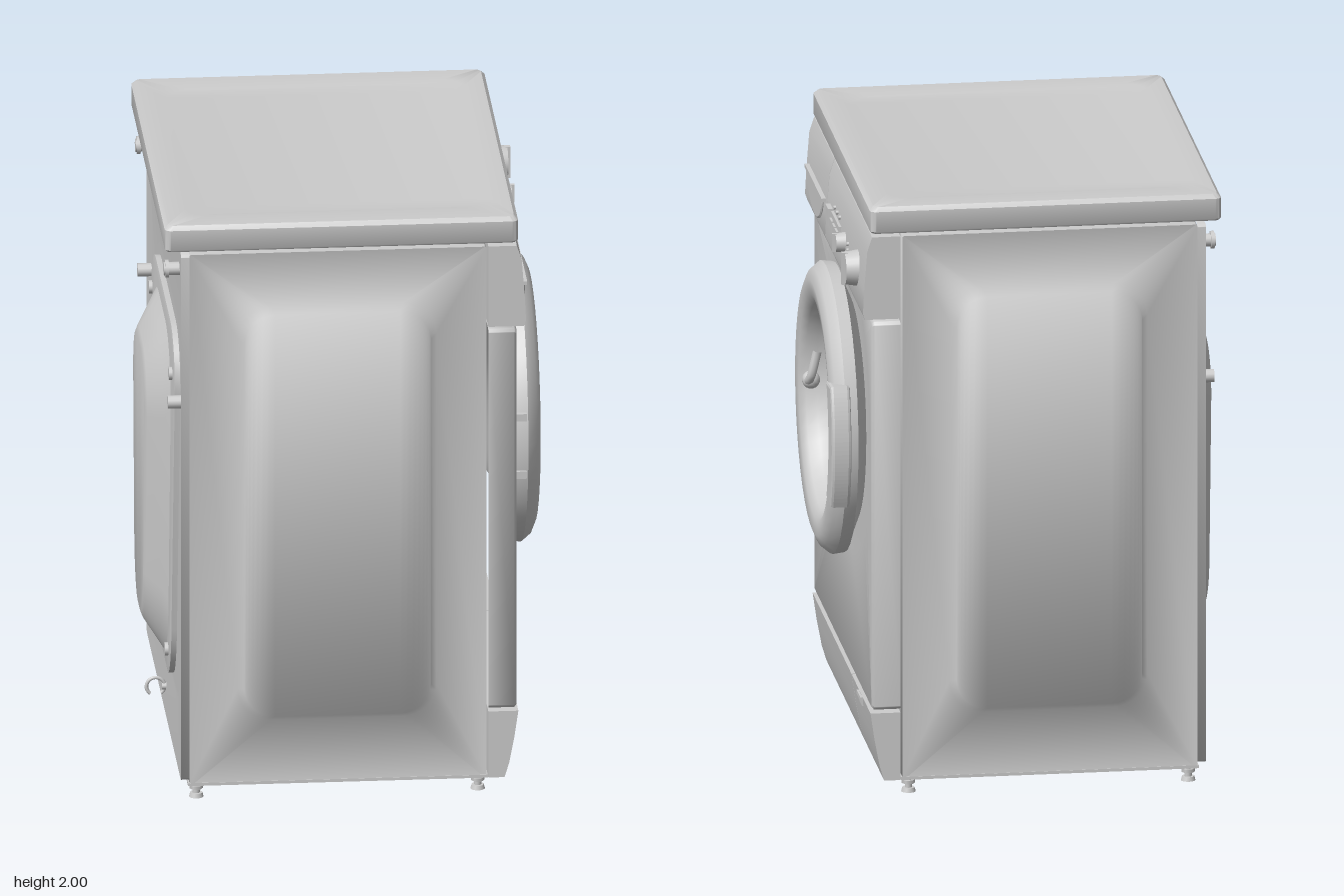
import * as THREE from 'three';
import { toCreasedNormals } from 'three/addons/utils/BufferGeometryUtils.js';

const CORNER = 9; // points per rounded corner

// Lofts rounded rectangles [width, height, radius, depth, cx, cy]; the last one may be capped.
function loft(loops, cap = true, crease = 1.15) {
  const pos = [], idx = [], n = CORNER * 4;
  for (const [w, h, r, d, cx = 0, cy = 0] of loops) {
    for (let q = 0; q < 4; q++) {
      const sx = q === 0 || q === 3 ? 1 : -1, sy = q < 2 ? 1 : -1;
      for (let k = 0; k < CORNER; k++) {
        const a = (q + k / (CORNER - 1)) * Math.PI / 2;
        pos.push(cx + sx * (w / 2 - r) + r * Math.cos(a), cy + sy * (h / 2 - r) + r * Math.sin(a), d);
      }
    }
  }
  for (let l = 0; l < loops.length - 1; l++) {
    for (let j = 0; j < n; j++) {
      const a = l * n + j, b = l * n + (j + 1) % n;
      idx.push(a, b, b + n, a, b + n, a + n);
    }
  }
  if (cap) {
    const o = (loops.length - 1) * n;
    for (let i = 0; i < n / 2 - 1; i++) {
      const a = o + i, b = o + i + 1, c = o + n - 2 - i, d = o + n - 1 - i;
      idx.push(a, b, c, a, c, d);
    }
  }
  const g = new THREE.BufferGeometry();
  g.setAttribute('position', new THREE.Float32BufferAttribute(pos, 3));
  g.setIndex(idx);
  return toCreasedNormals(g, crease);
}

// Extrudes a (z, y) profile sideways from x0 to x1.
function profileBar(points, x0, x1) {
  const shape = new THREE.Shape(points.map(p => new THREE.Vector2(...p)));
  const g = new THREE.ExtrudeGeometry(shape, { depth: x1 - x0, bevelEnabled: false });
  g.rotateY(-Math.PI / 2);
  g.translate(x1, 0, 0);
  return toCreasedNormals(g, 0.5);
}

export function createModel() {
  const grey = new THREE.MeshStandardMaterial({ color: 0xcccccc });
  grey.name = 'enamel grey';
  const model = new THREE.Group();
  model.name = 'washingMachine';
  const machine = new THREE.Group(); // built facing +z, then turned to face +x
  machine.name = 'machine';
  machine.rotation.y = Math.PI / 2;
  model.add(machine);

  const add = (name, geo, x = 0, y = 0, z = 0, parent = machine) => {
    const m = new THREE.Mesh(geo, grey);
    m.name = name;
    m.position.set(x, y, z);
    parent.add(m);
    return m;
  };
  const box = (name, w, h, d, x, y, z) => add(name, new THREE.BoxGeometry(w, h, d), x, y, z);
  const disc = (name, r, d, x, y, z, r2 = r) =>
    add(name, new THREE.CylinderGeometry(r2, r, d, 24).rotateX(Math.PI / 2), x, y, z);

  // Cabinet core and pressed side panels
  box('cabinetCore', 1.3, 1.84, 0.96, 0, 0.975, -0.06);
  box('cabinetFloor', 1.38, 0.01, 0.98, 0, 0.055, -0.055);
  for (const s of [-1, 1]) {
    const side = add('sidePanel', loft([
      [0.97, 1.85, 0.005, 0.64], [0.97, 1.85, 0.005, 0.69],
      [0.65, 1.44, 0.11, 0.655, -s * -0.0, 0.005],
      [0.61, 1.40, 0.1, 0.682, 0, 0.005],
    ]), 0, 0.975, -0.055);
    side.rotation.y = s * Math.PI / 2;
  }

  // Lid with a shallow inset top
  const lid = add('lid', loft([
    [1.0, 0.8, 0.02, 1.91], [1.37, 1.145, 0.02, 1.91], [1.38, 1.155, 0.02, 1.917],
    [1.38, 1.155, 0.02, 1.985], [1.355, 1.13, 0.02, 1.999],
    [1.19, 1.0, 0.08, 2.0], [1.14, 0.95, 0.07, 1.995],
  ], true, 0.7), 0, 0, -0.0425);
  lid.rotation.x = -Math.PI / 2;
  box('lidSeat', 1.3, 0.03, 0.95, 0, 1.9, -0.055);

  // Front panel dished towards the door
  add('frontPanel', loft([
    [1.38, 1.32, 0.012, 0.437, 0, 0.95], [1.38, 1.32, 0.012, 0.522, 0, 0.95],
    [1.364, 1.304, 0.01, 0.53, 0, 0.95],
    [0.94, 0.94, 0.47, 0.505, 0, 1.12], [0.7, 0.7, 0.35, 0.505, 0, 1.12],
  ], false));

  // Door ring with concave window bowl
  const profile = [[0.36, 0.5], [0.43, 0.53], [0.475, 0.545], [0.48, 0.585], [0.455, 0.615], [0.42, 0.63],
    [0.37, 0.625], [0.342, 0.605], [0.335, 0.57], [0.29, 0.51], [0.22, 0.465], [0.19, 0.45], [0, 0.445]]
    .map(p => new THREE.Vector2(...p));
  const door = new THREE.Group();
  door.name = 'door';
  door.position.y = 1.12;
  machine.add(door);
  add('doorRingAndWindow', toCreasedNormals(new THREE.LatheGeometry(profile, 40).rotateX(Math.PI / 2), 0.8), 0, 0, 0, door);

  // Door handle sector
  const grip = new THREE.Shape();
  grip.absarc(0, 0, 0.49, -0.41, 0.41, false);
  grip.absarc(0, 0, 0.41, 0.48, -0.48, true);
  add('doorHandle', new THREE.ExtrudeGeometry(grip, {
    depth: 0.045, bevelThickness: 0.01, bevelSize: 0.01, bevelSegments: 2, curveSegments: 14,
  }), 0, 0, 0.58, door);
  // Hinges
  for (const y of [-0.1, 0.1]) add('doorHinge', new THREE.BoxGeometry(0.05, 0.025, 0.06), -0.455, y, 0.55, door);

  // Small bent lever in front of the window
  const bend = new THREE.CatmullRomCurve3([[-0.19, 1.17, 0.6], [-0.15, 1.165, 0.625], [-0.115, 1.19, 0.62], [-0.105, 1.28, 0.6]]
    .map(p => new THREE.Vector3(...p)));
  add('windowLever', new THREE.TubeGeometry(bend, 16, 0.015, 8));
  add('windowLeverKnob', new THREE.SphereGeometry(0.03, 14, 10), -0.15, 1.17, 0.615);

  // Control panel and detergent drawer
  const fascia = [[0.437, 1.62], [0.553, 1.62], [0.56, 1.64], [0.556, 1.72], [0.546, 1.85], [0.53, 1.9], [0.437, 1.9]];
  add('detergentDrawer', profileBar(fascia, -0.69, -0.21));
  add('controlPanel', profileBar(fascia, -0.204, 0.69));
  const scoop = new THREE.Shape();
  scoop.absellipse(0, 0, 0.17, 0.1, Math.PI, Math.PI * 2, false);
  add('drawerPull', new THREE.ExtrudeGeometry(scoop, {
    depth: 0.004, bevelThickness: 0.004, bevelSize: 0.006, bevelSegments: 1, curveSegments: 20,
  }), -0.45, 1.745, 0.555);
  box('drawerLip', 0.4, 0.012, 0.03, -0.44, 1.75, 0.553);

  // Buttons, display and knobs
  box('powerButton', 0.06, 0.055, 0.03, -0.115, 1.74, 0.553);
  box('display', 0.18, 0.055, 0.016, 0.03, 1.74, 0.553);
  for (let i = 0; i < 3; i++) {
    box('displayButton', 0.045, 0.025, 0.03, -0.03 + i * 0.06, 1.735, 0.553);
    disc('indicatorLight', 0.006, 0.016, -0.025 + i * 0.057, 1.79, 0.55);
  }
  for (let i = 0; i < 4; i++) disc('programLight', 0.006, 0.016, 0.3, 1.7 + i * 0.021, 0.553);
  for (const [x, r, d] of [[0.21, 0.034, 0.035], [0.5, 0.06, 0.045]]) {
    disc('dial', r, d, x, 1.742, 0.55 + d / 2, r * 0.88);
    box('dialGrip', r * 0.35, r * 1.8, 0.02, x, 1.742, 0.55 + d);
  }

  // Kick plate, filter flap and latch
  const kick = [[0.437, 0.05], [0.49, 0.05], [0.505, 0.1], [0.522, 0.19], [0.535, 0.28], [0.437, 0.28]];
  add('kickPlate', profileBar(kick, -0.69, 0.235));
  add('filterFlap', profileBar(kick, 0.241, 0.69));
  box('flapLatch', 0.09, 0.014, 0.025, 0.455, 0.272, 0.53);
  box('flapLatchTab', 0.06, 0.022, 0.02, 0.455, 0.256, 0.525);

  // Levelling feet
  for (const x of [-0.65, 0.65]) for (const z of [-0.515, 0.405]) {
    add('footStem', new THREE.CylinderGeometry(0.012, 0.012, 0.05, 12), x, 0.03, z);
    add('footPad', new THREE.CylinderGeometry(0.02, 0.024, 0.014, 16), x, 0.007, z);
    add('footNut', new THREE.CylinderGeometry(0.022, 0.022, 0.012, 6), x, 0.034, z);
  }

  // Rear side: everything below is built facing backwards
  const rear = new THREE.Group();
  rear.name = 'rear';
  rear.rotation.y = Math.PI;
  machine.add(rear);
  add('rearPanel', loft([
    [1.38, 1.83, 0.01, 0.54, 0, 0.985], [1.38, 1.83, 0.01, 0.568, 0, 0.985],
    [1.04, 1.34, 0.22, 0.552, 0, 0.9], [1.0, 1.3, 0.2, 0.552, 0, 0.9],
  ]), 0, 0, 0, rear);

  // Tapered service hatch: widths shrink towards the bottom
  const taper = (geo) => {
    const p = geo.attributes.position;
    for (let i = 0; i < p.count; i++) {
      const t = THREE.MathUtils.clamp((p.getY(i) - 0.27) / 1.23, 0, 1);
      p.setX(i, p.getX(i) * (0.62 + 0.38 * t));
    }
    geo.computeVertexNormals();
    return toCreasedNormals(geo, 0.6);
  };
  add('hatchRim', taper(loft([
    [0.98, 1.26, 0.2, 0.545, 0, 0.89], [0.98, 1.26, 0.2, 0.57, 0, 0.89], [0.94, 1.22, 0.19, 0.574, 0, 0.89],
  ])), 0, 0, 0, rear);
  add('hatchBulge', taper(loft([
    [0.76, 1.16, 0.24, 0.573, 0, 0.885], [0.7, 1.1, 0.24, 0.595, 0, 0.885],
    [0.54, 0.96, 0.2, 0.642, 0, 0.885], [0.5, 0.92, 0.18, 0.65, 0, 0.885],
  ])), 0, 0, 0, rear);
  const stud = (name, r, d, x, y, z) =>
    add(name, new THREE.CylinderGeometry(r, r, d, 12).rotateX(Math.PI / 2), x, y, z, rear);
  for (const s of [-1, 1]) {
    stud('hatchScrew', 0.022, 0.02, s * 0.4, 1.38, 0.575);
    stud('hatchScrew', 0.022, 0.02, s * 0.24, 0.36, 0.575);
    // Hose fittings high up and cable clips at mid height
    stud('hoseFitting', 0.022, 0.06, s * 0.57, 1.81, 0.585);
    stud('hoseFittingCollar', 0.03, 0.012, s * 0.57, 1.81, 0.605);
    stud('sideClip', 0.022, 0.05, s * 0.61, 1.36, 0.58);
  }
  // Open drain hose ring near the floor
  const ring = new THREE.TorusGeometry(0.03, 0.006, 8, 20, Math.PI * 1.6);
  ring.rotateZ(-Math.PI * 0.3);
  ring.rotateY(Math.PI / 2);
  add('drainHoseClip', ring, 0, 0.14, 0.595, rear);
  stud('drainHoseClipMount', 0.012, 0.03, 0, 0.14, 0.56);

  return model;
}
